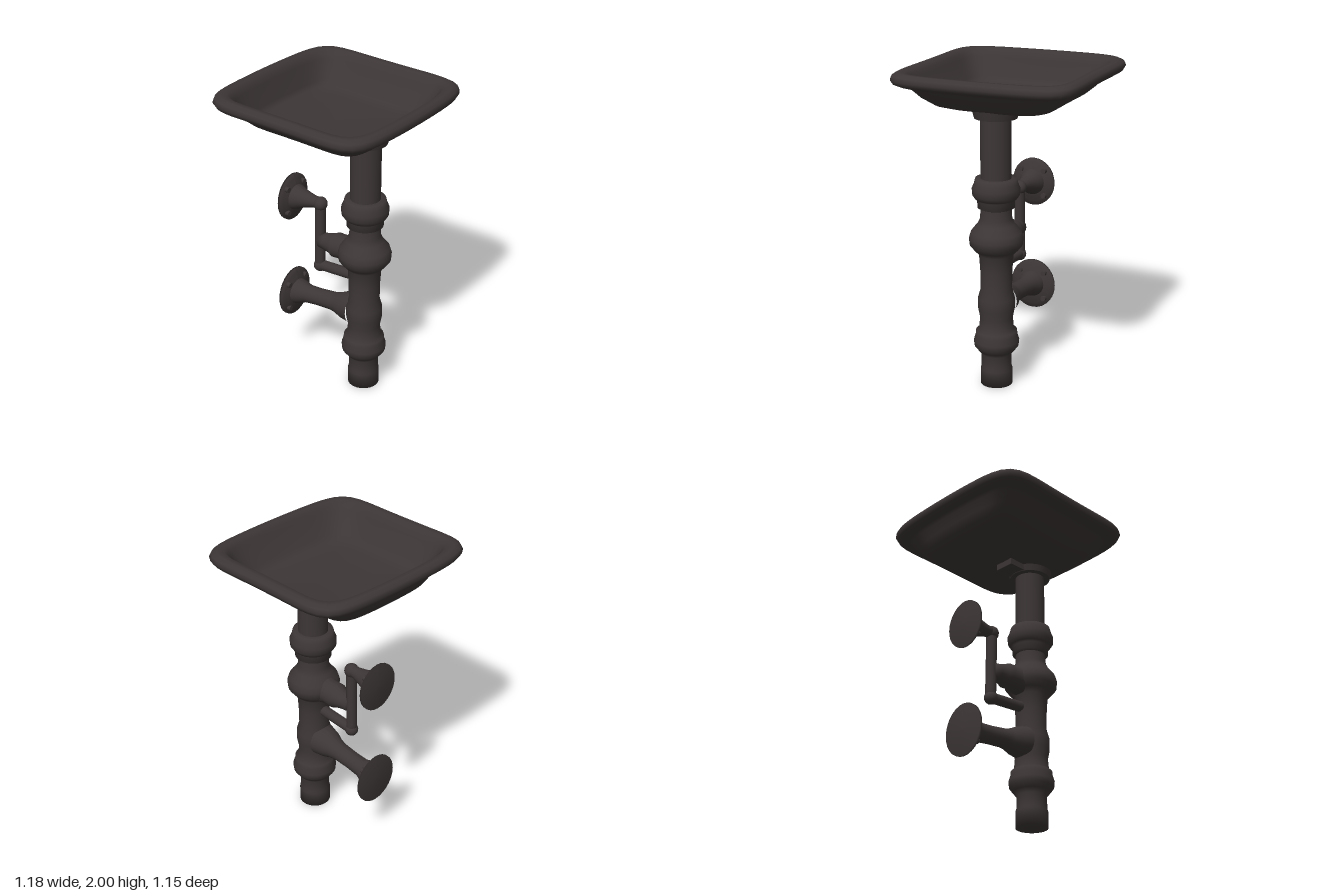
import * as THREE from 'three';

const POLE_Z = 0.205;

export function createModel() {
  const model = new THREE.Group();
  model.name = 'basinOnPipeStand';
  const iron = new THREE.MeshStandardMaterial({ color: 0x3d3636 });
  iron.name = 'darkIron';

  const add = (name, geometry, x = 0, y = 0, z = 0) => {
    const mesh = new THREE.Mesh(geometry, iron);
    mesh.name = name;
    mesh.position.set(x, y, z);
    model.add(mesh);
    return mesh;
  };
  const lathe = (points, segments = 28) =>
    new THREE.LatheGeometry(points.map(([r, y]) => new THREE.Vector2(r, y)), segments);

  // Pipe running towards the back, its axis drifting from height y0 to y1
  const backPipe = (name, points, y0, y1) => {
    const geometry = lathe(points).rotateX(-Math.PI / 2);
    const p = geometry.attributes.position;
    const first = points[0][1], last = points[points.length - 1][1];
    for (let i = 0; i < p.count; i++) {
      const t = (-p.getZ(i) - first) / (last - first);
      p.setY(i, p.getY(i) + y0 + (y1 - y0) * t);
    }
    geometry.computeVertexNormals();
    return add(name, geometry);
  };

  // Basin: squarish rings from the underside, over the rolled rim, to the floor
  const rings = [ // half width, half depth, z offset, height
    [0, 0, -0.03, 1.742], [0.2, 0.24, -0.03, 1.747], [0.31, 0.35, -0.03, 1.757],
    [0.375, 0.41, -0.03, 1.778], [0.44, 0.455, -0.01, 1.83], [0.49, 0.49, 0, 1.885],
    [0.515, 0.505, 0, 1.902], [0.55, 0.53, 0, 1.902], [0.583, 0.558, 0, 1.917],
    [0.596, 0.571, 0, 1.942], [0.587, 0.562, 0, 1.967], [0.56, 0.538, 0, 1.983],
    [0.525, 0.505, 0, 1.981], [0.499, 0.48, 0, 1.958], [0.487, 0.468, 0, 1.93],
    [0.42, 0.405, -0.015, 1.82], [0.385, 0.375, -0.025, 1.79], [0.3, 0.3, -0.03, 1.777],
    [0, 0, -0.03, 1.772],
  ];
  const n = 80, pos = [], index = [];
  rings.forEach(([hx, hz, oz, y], i) => {
    for (let j = 0; j < n; j++) {
      const a = (j / n) * Math.PI * 2, c = Math.cos(a), s = Math.sin(a);
      const r = Math.pow(Math.abs(c) ** 7 + Math.abs(s) ** 7, -1 / 7);
      const u = c * r, v = s * r;
      // sides pinch in slightly, front and back bow out, the whole leans forward
      const x = u * hx * (0.985 + 0.025 * v * v);
      const z = v * hz * (1.005 - 0.05 * u * u) + oz;
      pos.push(x, y - 0.03 * z, z);
      if (i < rings.length - 1) {
        const k = (j + 1) % n, p = i * n + j, q = i * n + k;
        index.push(p, p + n, q, q, p + n, q + n);
      }
    }
  });
  const basin = new THREE.BufferGeometry();
  basin.setAttribute('position', new THREE.Float32BufferAttribute(pos, 3));
  basin.setIndex(index);
  basin.computeVertexNormals();
  add('basin', basin);

  // Mounting collar and bracket under the basin
  add('basinCollar', new THREE.CylinderGeometry(0.145, 0.13, 0.06, 28), 0, 1.73, POLE_Z);
  add('basinBracket', new THREE.BoxGeometry(0.13, 0.06, 0.24), 0, 1.733, 0.09);

  // Standing pipe with its swollen joints
  add('standPipe', lathe([
    [0, 0], [0.1, 0], [0.1, 0.1], [0.094, 0.12], [0.094, 0.2], [0.115, 0.225],
    [0.138, 0.255], [0.142, 0.29], [0.13, 0.33], [0.128, 0.355], [0.108, 0.37],
    [0.102, 0.44], [0.114, 0.5], [0.114, 0.57], [0.097, 0.63], [0.099, 0.75],
    [0.106, 0.85], [0.135, 0.88], [0.163, 0.915], [0.167, 0.955], [0.155, 0.995],
    [0.115, 1.045], [0.098, 1.08], [0.094, 1.15],
  ]), 0, 0, POLE_Z);
  add('upperCollar', lathe([
    [0.09, 1.14], [0.114, 1.15], [0.114, 1.195], [0.128, 1.205], [0.145, 1.23],
    [0.147, 1.27], [0.134, 1.3], [0.126, 1.332], [0.09, 1.332],
  ]), 0, 0, POLE_Z);
  add('upperPipe', new THREE.CylinderGeometry(0.094, 0.094, 0.6, 28, 1, true), 0, 1.42, POLE_Z);

  // Short branch and the thin cranked supply pipe behind it
  backPipe('branchPipe', [
    [0.1, -0.12], [0.078, -0.05], [0.08, 0.01], [0.066, 0.04], [0.054, 0.09], [0.05, 0.13], [0, 0.13],
  ], 0.94, 0.935);
  const v = (y, z) => new THREE.Vector3(0, y, z);
  const path = new THREE.CurvePath();
  path.add(new THREE.LineCurve3(v(0.767, 0.17), v(0.752, -0.1)));
  path.add(new THREE.QuadraticBezierCurve3(v(0.752, -0.1), v(0.745, -0.141), v(0.785, -0.141)));
  path.add(new THREE.LineCurve3(v(0.785, -0.141), v(1.19, -0.135)));
  add('supplyPipe', new THREE.TubeGeometry(path, 60, 0.034, 14, false));
  add('lowerElbow', new THREE.SphereGeometry(0.042, 18, 12), 0, 0.748, -0.14);
  add('upperElbow', new THREE.SphereGeometry(0.045, 18, 12), 0, 1.188, -0.135);

  // Flared wall pipes ending in round wall flanges
  backPipe('upperWallPipe', [
    [0.036, 0.13], [0.038, 0.18], [0.05, 0.23], [0.062, 0.27], [0.078, 0.305], [0.088, 0.345],
  ], 1.192, 1.178);
  backPipe('lowerWallPipe', [
    [0.105, -0.13], [0.09, -0.06], [0.07, -0.01], [0.06, 0.04], [0.057, 0.15],
    [0.06, 0.24], [0.078, 0.29], [0.09, 0.345],
  ], 0.53, 0.485);
  for (const [name, y, r] of [['upperFlange', 1.175, 0.155], ['lowerFlange', 0.48, 0.165]]) {
    const flange = backPipe(name, [
      [0.07, 0.32], [r * 0.7, 0.33], [r * 0.8, 0.34], [r, 0.348], [r, 0.362], [0, 0.366],
    ], y, y);
    flange.scale.x = 0.92;
    // Bolt heads on the flange face
    for (let i = 0; i < 4; i++) {
      const a = Math.PI / 4 + (i * Math.PI) / 2;
      const bolt = new THREE.CylinderGeometry(0.017, 0.019, 0.024, 10).rotateX(Math.PI / 2);
      add(name + 'Bolt', bolt, Math.cos(a) * r * 0.72, y + Math.sin(a) * r * 0.75, -0.331);
    }
  }
  return model;
}
